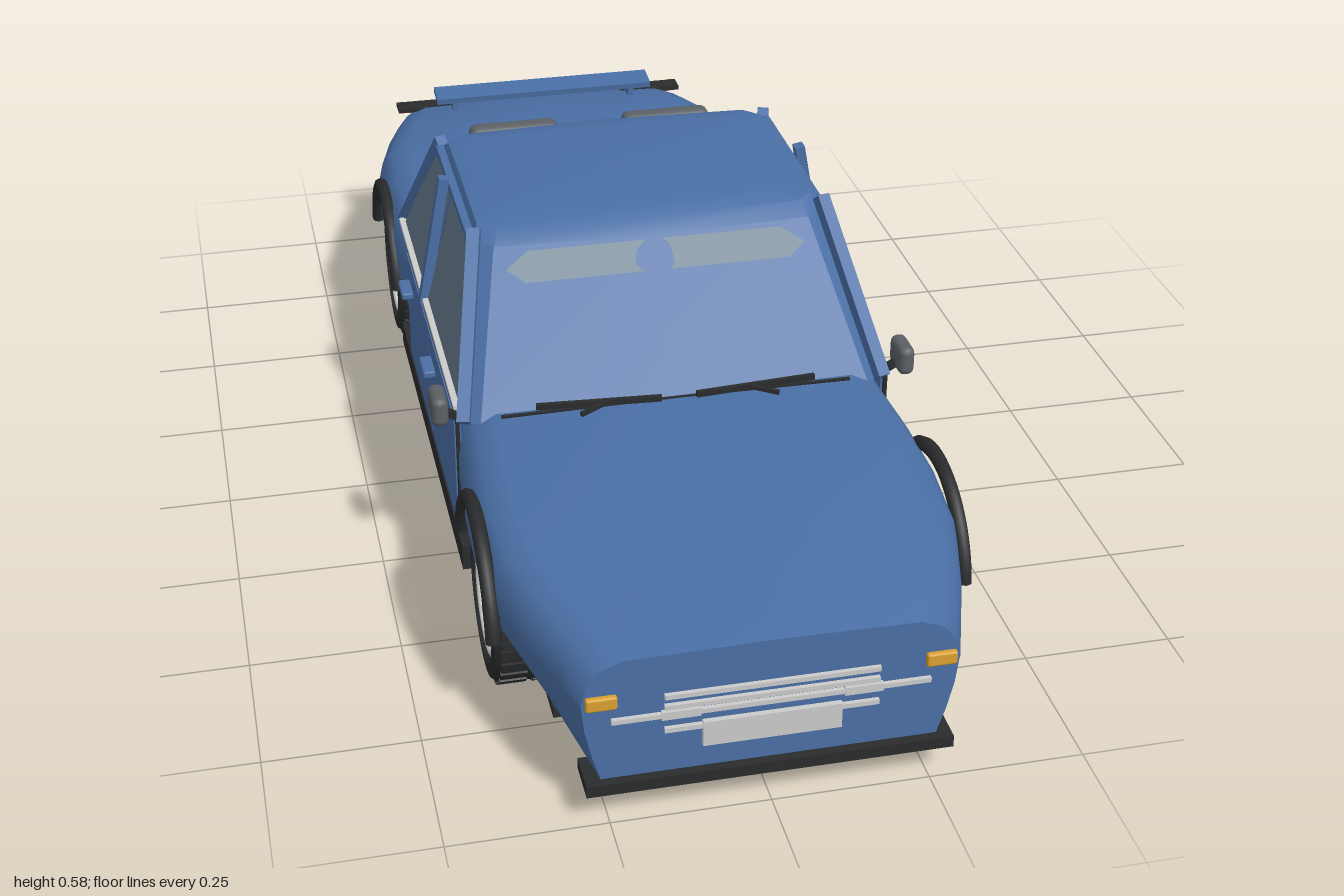
import * as THREE from 'three';
import { toCreasedNormals } from 'three/addons/utils/BufferGeometryUtils.js';
import { RoundedBoxGeometry } from 'three/addons/geometries/RoundedBoxGeometry.js';

const paint = (color, side = THREE.FrontSide) => new THREE.MeshStandardMaterial({ color, side });
const BLUE = paint(0x4a6fa5), DARK = paint(0x2a2b2d), SEAT = paint(0x5c6064), CHROME = paint(0xcfcfcf);
const AMBER = paint(0xd9a030), RED = paint(0xb03028), GLASS = paint(0x64788a, THREE.DoubleSide);
const TINT = paint(0x6a8190, THREE.DoubleSide);

export function createModel() {
  const car = new THREE.Group();
  car.name = 'car';

  const add = (name, geo, mat, parent = car) => {
    const m = new THREE.Mesh(geo, mat);
    m.name = name;
    parent.add(m);
    return m;
  };
  const box = (name, mat, w, h, d, x, y, z, r = 0, parent = car) => {
    const g = r ? new RoundedBoxGeometry(w, h, d, 2, r) : new THREE.BoxGeometry(w, h, d);
    const m = add(name, g, mat, parent);
    m.position.set(x, y, z);
    return m;
  };
  // box-section bar running from a to b
  const bar = (name, mat, a, b, w, d, parent = car) => {
    const p = new THREE.Vector3(...a), q = new THREE.Vector3(...b);
    const m = add(name, new THREE.BoxGeometry(w, d, p.distanceTo(q)), mat, parent);
    m.position.copy(p).lerp(q, 0.5);
    m.lookAt(q);
    return m;
  };
  const both = (fn) => [['left', 1], ['right', -1]].forEach(([n, s]) => fn(n, s));

  // skin over closed rings, with a fan cap at each end
  const loft = (rings, crease) => {
    const n = rings[0].length, pos = rings.flat(2), idx = [];
    for (let i = 0; i < rings.length - 1; i++) for (let j = 0; j < n; j++) {
      const a = i * n + j, b = i * n + (j + 1) % n;
      idx.push(a, b, b + n, a, b + n, a + n);
    }
    [0, rings.length - 1].forEach((r, end) => {
      const c = [0, 1, 2].map((k) => rings[r].reduce((t, p) => t + p[k] / n, 0));
      const ci = pos.length / 3;
      pos.push(...c);
      for (let j = 0; j < n; j++) {
        const a = r * n + j, b = r * n + (j + 1) % n;
        idx.push(ci, end ? a : b, end ? b : a);
      }
    });
    const g = new THREE.BufferGeometry();
    g.setAttribute('position', new THREE.Float32BufferAttribute(pos, 3));
    g.setIndex(idx);
    return toCreasedNormals(g, crease);
  };
  const mirrorRing = (half) => [...half, ...half.slice(1, -1).reverse().map(([x, y, z]) => [-x, y, z])];

  // lower body: stations of z, half width, top height, width at the floor
  const stations = [
    [-0.985, 0.30, 0.315, 0.27], [-0.93, 0.32, 0.33, 0.28], [-0.83, 0.35, 0.342, 0.29], [-0.72, 0.378, 0.347, 0.29],
    [-0.59, 0.384, 0.347, 0.29], [-0.46, 0.38, 0.337, 0.31], [-0.36, 0.371, 0.333, 0.35], [0, 0.37, 0.333, 0.36],
    [0.34, 0.371, 0.335, 0.35], [0.46, 0.38, 0.33, 0.31], [0.59, 0.384, 0.322, 0.29], [0.72, 0.375, 0.312, 0.29],
    [0.83, 0.345, 0.302, 0.28], [0.93, 0.31, 0.292, 0.27], [0.985, 0.29, 0.285, 0.26]];
  add('body', loft(stations.map(([z, w, t, b]) => mirrorRing([
    [0, 0.07, z], [b, 0.07, z], [b + (w - b) * 0.45, 0.115, z], [b + (w - b) * 0.82, 0.165, z], [w, 0.215, z],
    [w, t - 0.075, z], [w - 0.008, t - 0.04, z], [w - 0.028, t - 0.014, z], [w - 0.065, t, z], [0, t + 0.003, z]])), 0.6), BLUE);

  // cabin: front, rear and side surfaces as functions of height
  const front = (y) => 0.36 - (y - 0.32) * 0.848, rear = (y) => -0.43 + (y - 0.32) * 0.652;
  const side = (y) => 0.365 - (y - 0.32) * 0.26;
  const cabinRing = (y, w, f, r) => mirrorRing([
    [0, y, f + 0.012], [w - 0.03, y, f], [w, y, f - 0.03], [w, y, -0.05], [w, y, r + 0.03], [w - 0.03, y, r], [0, y, r - 0.012]]);
  add('cabin', loft([cabinRing(0.32, side(0.32), front(0.32), rear(0.32)), cabinRing(0.55, side(0.55), front(0.55), rear(0.55)),
    cabinRing(0.571, 0.295, 0.14, -0.255), cabinRing(0.58, 0.265, 0.10, -0.21)], 0.5), BLUE);

  // flat outline bent onto a surface by a rule
  const panel = (name, pts, mat, map) => {
    const g = new THREE.ShapeGeometry(new THREE.Shape(pts.map((p) => new THREE.Vector2(...p))));
    const p = g.attributes.position;
    for (let i = 0; i < p.count; i++) p.setXYZ(i, ...map(p.getX(i), p.getY(i)));
    g.computeVertexNormals();
    return add(name, g, mat);
  };
  const strip = [[-0.26, 0.522], [-0.23, 0.503], [0.23, 0.503], [0.26, 0.522], [0.22, 0.545], [-0.22, 0.545]];
  const bow = (x) => 0.018 - 0.03 * Math.abs(x);
  panel('windscreenTint', strip, TINT, (x, y) => [x, y, front(y) + bow(x)]);
  panel('rearWindowTint', strip, TINT, (x, y) => [x, y, rear(y) - bow(x)]);

  both((n, s) => {
    // side glass, trim and pillars
    panel(n + 'FrontWindow', [[0.315, 0.338], [-0.07, 0.338], [-0.07, 0.54], [0.15, 0.54], [0.18, 0.52]], GLASS,
      (z, y) => [s * (side(y) + 0.004), y, z]);
    panel(n + 'RearWindow', [[-0.085, 0.338], [-0.385, 0.338], [-0.3, 0.49], [-0.26, 0.53], [-0.22, 0.54], [-0.085, 0.54]], GLASS,
      (z, y) => [s * (side(y) + 0.004), y, z]);
    box(n + 'WindowTrim', CHROME, 0.016, 0.008, 0.72, s * 0.366, 0.337, -0.04);
    bar(n + 'FrontPillar', BLUE, [s * 0.362, 0.325, 0.35], [s * 0.304, 0.575, 0.14], 0.022, 0.022);
    bar(n + 'MiddlePillar', BLUE, [s * 0.37, 0.33, -0.077], [s * 0.325, 0.572, -0.077], 0.022, 0.018);
    bar(n + 'RearPillar', BLUE, [s * 0.362, 0.325, -0.42], [s * 0.304, 0.565, -0.25], 0.02, 0.02);
    bar(n + 'RoofRail', BLUE, [s * 0.307, 0.55, 0.16], [s * 0.307, 0.55, -0.26], 0.016, 0.016);

    // doors with dark shut lines, handles and sill
    box(n + 'DoorGap', DARK, 0.006, 0.22, 0.628, s * 0.371, 0.218, 0.03);
    box(n + 'FrontDoor', BLUE, 0.012, 0.218, 0.312, s * 0.3705, 0.219, 0.18);
    box(n + 'RearDoor', BLUE, 0.012, 0.218, 0.3, s * 0.3705, 0.219, -0.13);
    [0.085, -0.21].forEach((z) => box(n + 'DoorHandle', BLUE, 0.022, 0.014, 0.06, s * 0.388, 0.285, z, 0.004));
    box(n + 'Sill', DARK, 0.05, 0.045, 0.8, s * 0.354, 0.09, 0);

    // mirror, wiper and lamps
    box(n + 'Mirror', SEAT, 0.028, 0.052, 0.065, s * 0.401, 0.356, 0.335, 0.012);
    bar(n + 'MirrorArm', DARK, [s * 0.36, 0.325, 0.335], [s * 0.395, 0.345, 0.335], 0.012, 0.012);
    bar(n + 'Wiper', DARK, [s * 0.03, 0.345, 0.372], [s * 0.24, 0.342, 0.352], 0.008, 0.01);
    bar(n + 'WiperArm', DARK, [s * 0.17, 0.338, 0.385], [s * 0.12, 0.346, 0.365], 0.007, 0.007);
    box(n + 'Indicator', AMBER, 0.048, 0.023, 0.012, s * 0.26, 0.216, 0.988, 0.004);
    bar(n + 'TailLamp', RED, [s * 0.18, 0.303, -0.988], [s * 0.3, 0.315, -0.982], 0.02, 0.018);
    box(n + 'TailLampHood', DARK, 0.13, 0.008, 0.04, s * 0.242, 0.322, -0.965);

    // exhaust pipes
    const x = s * 0.17;
    const path = new THREE.CatmullRomCurve3([[s * 0.1, 0.065, 0.6], [x, 0.025, 0.5], [x, 0.025, 0.2], [x, 0.027, -0.5], [x, 0.035, -0.95]]
      .map((p) => new THREE.Vector3(...p)), false, 'centripetal');
    add(n + 'ExhaustPipe', new THREE.TubeGeometry(path, 30, 0.013, 10), DARK);
    bar(n + 'SuspensionArm', DARK, [s * 0.14, 0.03, 0.59], [s * 0.24, 0.055, 0.59], 0.05, 0.02);

    // wheels and arches
    [0.59, -0.59].forEach((z) => {
      const end = z > 0 ? 'Front' : 'Rear';
      const arch = add(n + end + 'Arch', new THREE.TorusGeometry(0.163, 0.0125, 8, 28, Math.PI * 0.9), DARK);
      arch.position.set(s * 0.381, 0.145, z);
      arch.rotation.set(0.05 * Math.PI, Math.PI / 2, 0, 'XYZ');
      arch.rotation.set(0, Math.PI / 2, 0.05 * Math.PI, 'YXZ');
      const w = wheel();
      w.name = n + end + 'Wheel';
      w.position.set(s * 0.316, 0.136, z);
      w.rotation.y = s * Math.PI / 2;
      car.add(w);
    });
  });

  // wheel with its outer face toward +z
  function wheel() {
    const g = new THREE.Group();
    const prof = [[0.092, -0.05], [0.1, -0.06], [0.124, -0.058], [0.133, -0.046], [0.133, 0.046], [0.124, 0.058], [0.1, 0.06],
      [0.092, 0.05], [0.088, 0], [0.092, -0.05]].map((p) => new THREE.Vector2(...p));
    add('tyre', toCreasedNormals(new THREE.LatheGeometry(prof, 36).rotateX(Math.PI / 2), 0.6), paint(0x2a2b2d, THREE.DoubleSide), g);
    add('brakeDisc', new THREE.CylinderGeometry(0.09, 0.09, 0.06, 30).rotateX(Math.PI / 2), DARK, g).position.z = -0.01;
    add('rimLip', new THREE.TorusGeometry(0.087, 0.006, 8, 36), CHROME, g).position.z = 0.05;
    add('hub', new THREE.CylinderGeometry(0.018, 0.024, 0.03, 16).rotateX(Math.PI / 2), CHROME, g).position.z = 0.042;
    for (let i = 0; i < 5; i++) {
      const a = i * Math.PI * 0.4 + Math.PI / 2;
      [-0.13, 0.13].forEach((o) => bar('spoke', CHROME,
        [0.012 * Math.cos(a + o), 0.012 * Math.sin(a + o), 0.044],
        [0.088 * Math.cos(a + o), 0.088 * Math.sin(a + o), 0.046], 0.012, 0.014, g));
    }
    for (let i = 0; i < 30; i++) [-0.028, 0.028].forEach((z) => {
      const a = (i + (z > 0 ? 0.5 : 0)) * Math.PI / 15;
      const t = box('treadBlock', DARK, 0.006, 0.017, 0.044, 0.133 * Math.cos(a), 0.133 * Math.sin(a), z, 0, g);
      t.rotation.z = a;
    });
    return g;
  }

  // nose: grille bars and number plate
  [[0.213, 0.33], [0.194, 0.33], [0.152, 0.33], [0.18, 0.49]].forEach(([y, w]) =>
    box('grilleBar', CHROME, w, 0.008, 0.014, 0, y, 0.985));
  both((n, s) => box(n + 'GrilleTrim', CHROME, 0.06, 0.014, 0.014, s * 0.14, 0.18, 0.986));
  box('frontPlate', CHROME, 0.214, 0.044, 0.012, 0, 0.138, 0.988);
  box('rearPlate', CHROME, 0.21, 0.044, 0.012, 0, 0.18, -0.986);

  // bumpers, bonnet edge, boot lip
  [0.965, -0.965].forEach((z) => box(z > 0 ? 'frontBumper' : 'rearBumper', DARK, 0.57, 0.02, 0.07, 0, 0.063, z));
  bar('bonnetGap', DARK, [-0.3, 0.335, 0.362], [0.3, 0.335, 0.362], 0.006, 0.006);
  const lip = box('spoiler', BLUE, 0.46, 0.012, 0.055, 0, 0.364, -0.915);
  lip.rotation.x = 0.12;
  both((n, s) => box(n + 'SpoilerPost', BLUE, 0.012, 0.035, 0.03, s * 0.19, 0.345, -0.915));

  // rear seat back and headrests
  box('rearSeat', SEAT, 0.57, 0.15, 0.042, 0, 0.385, -0.4, 0.012);
  both((n, s) => {
    box(n + 'Headrest', SEAT, 0.17, 0.055, 0.04, s * 0.148, 0.495, -0.392, 0.014);
    box(n + 'HeadrestPost', DARK, 0.03, 0.03, 0.01, s * 0.148, 0.463, -0.394);
  });

  // underside
  box('floor', DARK, 0.6, 0.016, 1.62, 0, 0.066, 0);
  box('fuelTank', DARK, 0.265, 0.055, 0.36, -0.117, 0.036, -0.54, 0.018);
  [0.59, -0.59].forEach((z) => add('axle', new THREE.CylinderGeometry(0.016, 0.016, 0.54, 10).rotateZ(Math.PI / 2), DARK)
    .position.set(0, 0.1, z));

  return car;
}
